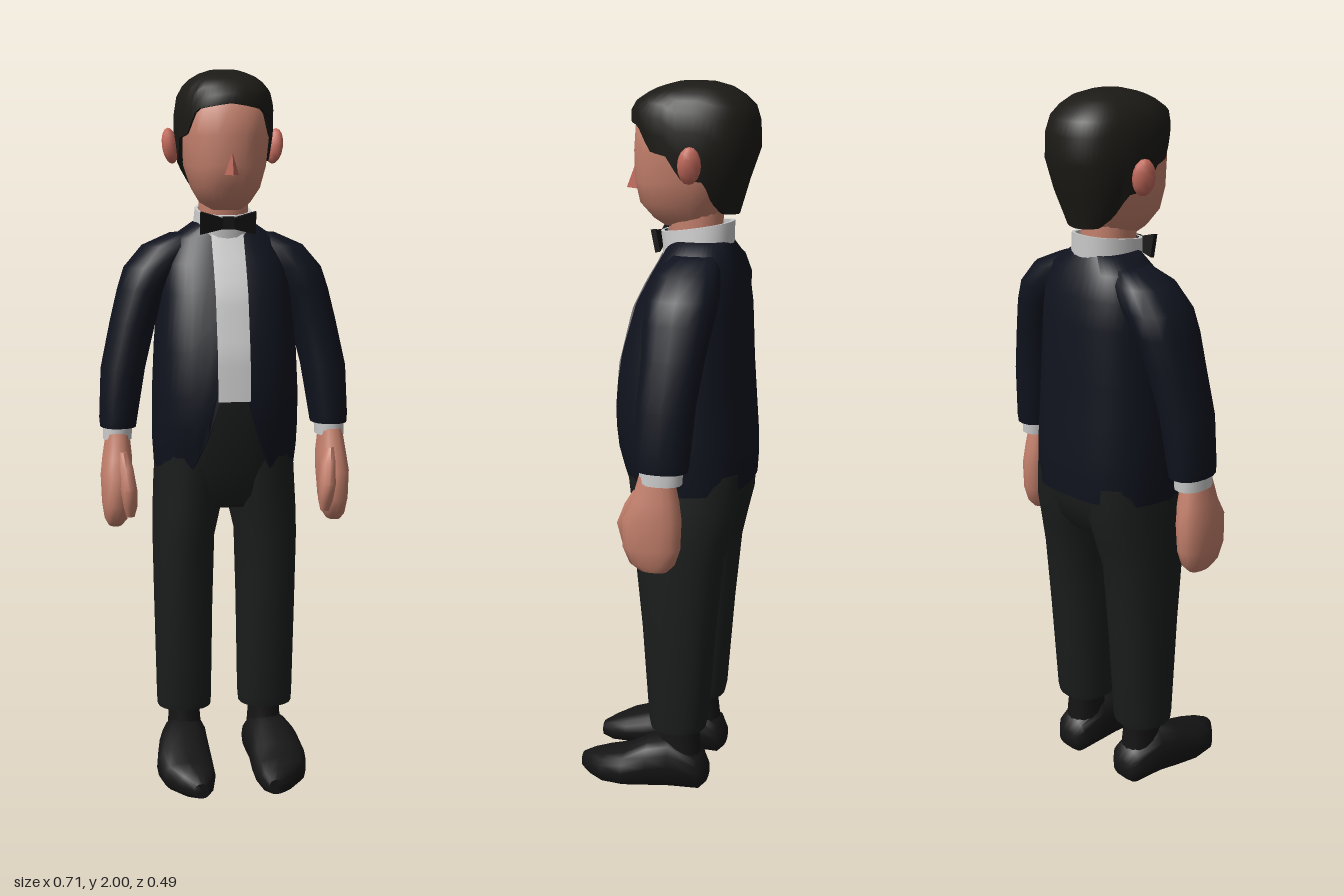
import * as THREE from 'three';
import { toCreasedNormals } from 'three/addons/utils/BufferGeometryUtils.js';

const material = (color, extra = {}) => new THREE.MeshStandardMaterial({ color, ...extra });
const MAT = {
  jacket: material(0x10131e, { side: THREE.DoubleSide }),
  trousers: material(0x1b1d1d),
  shoe: material(0x151515),
  hair: material(0x1b1a16, { side: THREE.DoubleSide }),
  skin: material(0xc4806c),
  blush: material(0xc46a5c),
  nose: material(0xb8665a, { flatShading: true }),
  shirt: material(0xdcdcdc, { side: THREE.DoubleSide }),
  bow: material(0x121212),
};

// Piecewise linear lookup: rows sorted by their first value
function lookup(rows, v) {
  let k = 0;
  while (k < rows.length - 2 && v > rows[k + 1][0]) k++;
  const a = rows[k], b = rows[k + 1];
  const t = THREE.MathUtils.clamp((v - a[0]) / (b[0] - a[0]), 0, 1);
  return a.map((n, i) => n + (b[i] - n) * t);
}

// Skin over horizontal rounded rings [y, zFront, zBack, halfWidth, centreX].
// An optional hem (rows of [degrees from front, y]) shapes the lower edge.
function shell(rings, { segs = 16, power = 2.3, hem = null, inner = 0, capTop = 0 } = {}) {
  const y0 = rings[0][0], y1 = rings.at(-1)[0];
  const rows = [[y0, inner], ...rings.map(r => [r[0], 1]), [y1, capTop]];
  const pos = [], index = [];
  const bend = v => Math.sign(v) * Math.abs(v) ** (2 / power);
  for (const [ry, scale] of rows) {
    for (let i = 0; i < segs; i++) {
      const a = (i / segs) * Math.PI * 2;
      const deg = THREE.MathUtils.radToDeg(Math.min(a, Math.PI * 2 - a));
      const low = hem ? lookup(hem, deg)[1] : y0;
      const y = low + (y1 - low) * (ry - y0) / (y1 - y0);
      const [, front, back, rx, cx = 0] = lookup(rings, y);
      pos.push(cx + rx * scale * bend(Math.sin(a)), y,
        (front + back) / 2 + (front - back) / 2 * scale * bend(Math.cos(a)));
    }
  }
  for (let j = 0; j < rows.length - 1; j++) {
    for (let i = 0; i < segs; i++) {
      const n = (i + 1) % segs, a = j * segs + i, b = j * segs + n;
      index.push(a, b, b + segs, a, b + segs, a + segs);
    }
  }
  const g = new THREE.BufferGeometry();
  g.setAttribute('position', new THREE.Float32BufferAttribute(pos, 3));
  g.setIndex(index);
  return g;
}

const TORSO = [
  [0.87, 0.095, -0.23, 0.195], [0.94, 0.12, -0.24, 0.203], [1.01, 0.14, -0.241, 0.205],
  [1.1, 0.15, -0.235, 0.205], [1.23, 0.14, -0.225, 0.2], [1.39, 0.1, -0.22, 0.186],
  [1.47, 0.06, -0.21, 0.178], [1.54, 0.018, -0.19, 0.15], [1.585, 0, -0.165, 0.085],
];
const TORSO_POWER = 2.5;

export function createModel() {
  const model = new THREE.Group();
  const add = (name, geometry, mat, crease = 0.9) => {
    const mesh = new THREE.Mesh(crease ? toCreasedNormals(geometry, crease) : geometry, mat);
    mesh.name = name;
    model.add(mesh);
    return mesh;
  };

  // Jacket body with a cutaway front
  add('jacket', shell(TORSO, {
    segs: 48, power: TORSO_POWER, inner: 0.94,
    hem: [[0, 1.11], [9, 1.1], [14, 1.01], [30, 0.89], [60, 0.88], [90, 0.905], [180, 0.92]],
  }), MAT.jacket);

  // Shirt front follows the chest
  const front = new THREE.PlaneGeometry(0.09, 0.45, 6, 14).translate(0, 1.33, 0);
  const p = front.attributes.position;
  for (let i = 0; i < p.count; i++) {
    const [, f, b, rx] = lookup(TORSO, p.getY(i));
    const curve = (1 - Math.abs(p.getX(i) / rx) ** TORSO_POWER) ** (1 / TORSO_POWER);
    p.setZ(i, (f + b) / 2 + (f - b) / 2 * curve + 0.004);
  }
  front.computeVertexNormals();
  add('shirtFront', front, MAT.shirt, 0);

  // Neck and sloping collar
  add('neck', shell([[1.54, 0, -0.14, 0.07], [1.68, 0.01, -0.14, 0.07]]), MAT.skin);
  const collar = shell([[1.55, 0.022, -0.17, 0.086], [1.62, 0.03, -0.172, 0.078]],
    { segs: 24, inner: 1, capTop: 0.9 });
  const c = collar.attributes.position;
  for (let i = 0; i < c.count; i++) c.setY(i, c.getY(i) - 0.16 * (c.getZ(i) + 0.07));
  add('collar', collar, MAT.shirt);

  // Bow tie
  const bow = new THREE.Shape([[-0.077, 0.033], [-0.012, 0.014], [0.012, 0.014], [0.077, 0.033],
    [0.077, -0.03], [0.012, -0.014], [-0.012, -0.014], [-0.077, -0.03]]
    .map(q => new THREE.Vector2(...q)));
  const tie = add('bowTie', new THREE.ExtrudeGeometry(bow, { depth: 0.014, bevelEnabled: false }), MAT.bow);
  tie.position.set(0, 1.585, 0.02);
  tie.rotation.x = 0.2;
  add('bowKnot', new THREE.BoxGeometry(0.03, 0.034, 0.024), MAT.bow).position.set(0, 1.585, 0.03);

  // Head and nose
  add('head', shell([
    [1.62, 0.02, -0.1, 0.045], [1.64, 0.05, -0.13, 0.07], [1.68, 0.086, -0.15, 0.095],
    [1.74, 0.099, -0.185, 0.113], [1.82, 0.101, -0.215, 0.123], [1.9, 0.095, -0.22, 0.125],
    [1.96, 0.04, -0.18, 0.08],
  ], { segs: 24 }), MAT.skin, 1.2);
  add('nose', new THREE.ConeGeometry(0.023, 0.06, 3), MAT.nose, 0).position.set(0, 1.745, 0.106);

  // Hair cap with fringe, sideburns and nape
  add('hair', shell([
    [1.655, 0.03, -0.185, 0.08], [1.745, 0.06, -0.21, 0.126], [1.83, 0.095, -0.24, 0.137],
    [1.9, 0.108, -0.238, 0.136], [1.94, 0.107, -0.226, 0.126], [1.965, 0.075, -0.2, 0.108],
    [1.987, 0.03, -0.165, 0.08], [2, -0.02, -0.12, 0.04],
  ], {
    segs: 60, inner: 0.85,
    hem: [[0, 1.905], [40, 1.89], [54, 1.825], [73, 1.815], [82, 1.755], [104, 1.75],
      [116, 1.69], [135, 1.66], [180, 1.655]],
  }), MAT.hair);

  // Hips
  add('hips', shell([
    [0.79, 0.05, -0.17, 0.17], [0.83, 0.075, -0.2, 0.195], [0.9, 0.095, -0.226, 0.197],
    [1, 0.13, -0.23, 0.197], [1.12, 0.143, -0.225, 0.195],
  ], { segs: 32, power: 2.5 }), MAT.trousers);

  for (const s of [1, -1]) {
    const side = s > 0 ? 'left' : 'right';
    const limb = (name, rings, mat, options) =>
      add(side + name, shell(rings.map(([y, f, b, rx, cx]) => [y, f, b, rx, s * cx]), options), mat);

    // Ear
    const ear = add(side + 'Ear', new THREE.SphereGeometry(1, 10, 8), MAT.blush, 0);
    ear.scale.set(0.022, 0.05, 0.032);
    ear.position.set(s * 0.147, 1.795, -0.083);
    ear.rotation.set(0, s * 0.4, -s * 0.15);

    // Sleeve, cuff and hand
    limb('Sleeve', [
      [1.015, 0.018, -0.123, 0.051, 0.303], [1.04, 0.02, -0.127, 0.054, 0.302],
      [1.18, 0.02, -0.138, 0.063, 0.287], [1.31, 0.015, -0.156, 0.065, 0.257],
      [1.4, 0.018, -0.172, 0.072, 0.228], [1.46, 0.016, -0.178, 0.085, 0.196],
      [1.52, 0, -0.168, 0.08, 0.15], [1.555, -0.03, -0.145, 0.05, 0.1],
    ], MAT.jacket);
    limb('Cuff', [[0.98, 0.008, -0.108, 0.041, 0.306], [1.04, 0.01, -0.112, 0.041, 0.304]], MAT.shirt);
    limb('Hand', [
      [0.735, 0.005, -0.07, 0.02, 0.316], [0.755, 0.035, -0.09, 0.032, 0.314],
      [0.8, 0.055, -0.105, 0.04, 0.313], [0.88, 0.055, -0.108, 0.045, 0.311],
      [0.93, 0.03, -0.1, 0.042, 0.308], [1, 0.01, -0.085, 0.033, 0.306],
    ], MAT.skin);
    limb('Thumb', [
      [0.77, 0.05, 0.02, 0.012, 0.278], [0.8, 0.068, 0.01, 0.02, 0.279],
      [0.85, 0.08, 0.0, 0.024, 0.283], [0.91, 0.055, -0.03, 0.022, 0.29],
      [0.95, 0.03, -0.05, 0.015, 0.296],
    ], MAT.skin, { segs: 10 });

    // Trouser leg and ankle
    limb('TrouserLeg', [
      [0.19, 0.028, -0.13, 0.077, 0.119], [0.215, 0.033, -0.136, 0.079, 0.119],
      [0.5, 0.052, -0.158, 0.084, 0.12], [0.7, 0.072, -0.178, 0.088, 0.119],
      [0.78, 0.08, -0.197, 0.096, 0.109], [0.86, 0.087, -0.217, 0.099, 0.102],
      [0.96, 0.1, -0.222, 0.096, 0.098],
    ], MAT.trousers, { segs: 20 });
    limb('Ankle', [[0.08, 0.015, -0.12, 0.052, 0.118], [0.17, 0, -0.11, 0.045, 0.118],
      [0.22, 0.005, -0.115, 0.05, 0.118]], MAT.shoe);

    // Shoe, skinned from heel to toe and laid flat
    const shoe = shell([
      [-0.135, -0.02, -0.07, 0.035, 0.118], [-0.115, 0, -0.11, 0.056, 0.118],
      [-0.03, 0, -0.155, 0.066, 0.122], [0.03, 0, -0.145, 0.073, 0.131],
      [0.1, 0, -0.106, 0.08, 0.135], [0.165, 0, -0.086, 0.073, 0.129],
      [0.21, 0, -0.07, 0.048, 0.114], [0.245, -0.01, -0.052, 0.02, 0.105],
    ].map(([z, f, b, rx, cx]) => [z, f, b, rx, s * cx]), { power: 2.6 });
    add(side + 'Shoe', shoe.rotateX(Math.PI / 2), MAT.shoe);
  }
  return model;
}
